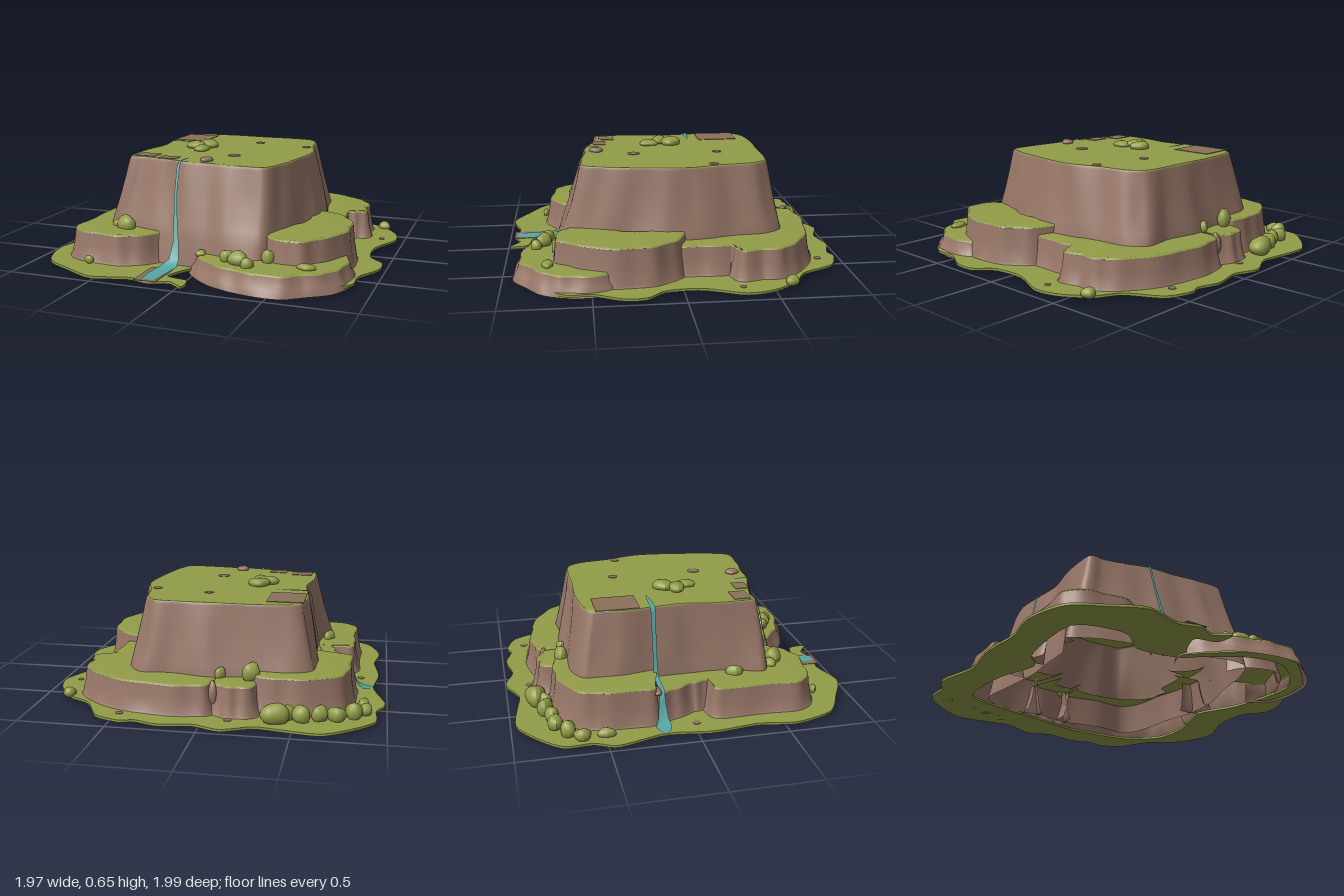
import * as THREE from 'three';

const flat = (name, color) => {
  const m = new THREE.MeshStandardMaterial({ color, side: THREE.DoubleSide });
  m.name = name;
  return m;
};

// smooth plan curve through [x, z] points
function smooth(pts, closed, n) {
  const c = new THREE.CatmullRomCurve3(pts.map(([x, z]) => new THREE.Vector3(x, 0, z)), closed, 'catmullrom', 0.4);
  const out = c.getPoints(n);
  if (closed) out.pop();
  return out;
}

// surface through rows of points
function loft(rows, closed) {
  const n = rows[0].length, pos = [], idx = [];
  rows.forEach(r => r.forEach(p => pos.push(p.x, p.y, p.z)));
  for (let r = 0; r < rows.length - 1; r++)
    for (let i = 0; i < (closed ? n : n - 1); i++) {
      const j = (i + 1) % n, a = r * n + i, b = r * n + j, c = a + n, d = b + n;
      idx.push(a, b, c, b, d, c);
    }
  const g = new THREE.BufferGeometry();
  g.setAttribute('position', new THREE.Float32BufferAttribute(pos, 3));
  g.setIndex(idx);
  g.computeVertexNormals();
  return g;
}

// path pushed outward and set at a height
function offset(path, d, y, closed) {
  const n = path.length;
  return path.map((p, i) => {
    const a = path[closed ? (i + n - 1) % n : Math.max(i - 1, 0)];
    const b = path[closed ? (i + 1) % n : Math.min(i + 1, n - 1)];
    const t = b.clone().sub(a).normalize();
    const k = typeof d === 'function' ? d(i) : d;
    return new THREE.Vector3(p.x + t.z * k, y, p.z - t.x * k);
  });
}

const toShape = pts => new THREE.Shape(pts.map(p => new THREE.Vector2(p.x, -p.z)));

export function createModel() {
  const model = new THREE.Group();
  const grass = flat('grass', 0x929c48), rock = flat('rock', 0x987768);
  const water = flat('water', 0x55a5a2), dirt = flat('dirt', 0x8a7058);
  const add = (name, geo, mat) => {
    const m = new THREE.Mesh(geo, mat);
    m.name = name;
    model.add(m);
    return m;
  };

  // ground skirt with the hollow under the hill
  const ground = toShape(smooth([
    [-.94, -.74], [-.82, -.87], [-.66, -.97], [-.45, -.95], [-.3, -.93], [-.13, -1], [.03, -.95], [.21, -.98],
    [.35, -.94], [.43, -.96], [.58, -.9], [.69, -.71], [.82, -.63], [.93, -.48], [.96, -.32], [.87, -.1],
    [.88, .1], [.97, .21], [.97, .34], [.89, .5], [.89, .63], [.82, .72], [.56, .92], [.29, .89], [.06, .73],
    [-.02, .67], [-.1, .84], [.03, .88], [.045, .99], [-.05, .93], [-.16, .97], [-.29, .94], [-.5, .99],
    [-.69, .9], [-.87, .79], [-.95, .56], [-.92, .34], [-.95, .08], [-.92, -.18], [-.99, -.45], [-.94, -.58],
  ], true, 200));
  ground.holes.push(toShape(smooth([
    [-.76, -.5], [-.68, -.62], [-.3, -.7], [.1, -.78], [.5, -.74], [.7, -.58], [.72, -.35], [.63, -.05],
    [.75, .2], [.8, .6], [.55, .84], [.3, .82], [.08, .68], [-.03, .6], [-.28, .57], [-.45, .7], [-.73, .62],
    [-.73, .2], [-.64, .05], [-.73, -.2],
  ], true, 80)));
  const groundGeo = new THREE.ExtrudeGeometry(ground, { depth: 0.014, bevelEnabled: false });
  add('ground', groundGeo.rotateX(-Math.PI / 2).translate(0, 0.013, 0), grass);

  // central plateau: top edge and foot are paired point by point
  const N = 184;
  const topEdge = smooth([
    [-.5, -.49], [-.42, -.55], [-.2, -.57], [0, -.56], [.2, -.56], [.33, -.54], [.39, -.45], [.42, -.27],
    [.47, -.1], [.47, .05], [.44, .25], [.41, .4], [.35, .53], [.18, .53], [.02, .51], [-.15, .5], [-.28, .46],
    [-.42, .43], [-.51, .42], [-.52, .2], [-.49, 0], [-.51, -.17], [-.53, -.35],
  ], true, N);
  const foot = smooth([
    [-.6, -.58], [-.45, -.66], [-.2, -.64], [0, -.67], [.22, -.63], [.4, -.64], [.49, -.53], [.52, -.32],
    [.56, -.13], [.57, .08], [.51, .3], [.46, .5], [.38, .67], [.19, .68], [.03, .64], [-.15, .62], [-.32, .58],
    [-.53, .52], [-.64, .46], [-.58, .27], [-.57, .02], [-.58, -.18], [-.61, -.4],
  ], true, N);
  const ring = (t, y) => {
    const mid = topEdge.map((p, i) => p.clone().lerp(foot[i], t));
    const fold = i => 0.007 * Math.sin(t * Math.PI) * (Math.sin(i * 0.55) + Math.sin(i * 0.23 + 1));
    return offset(mid, fold, y, true);
  };
  const lip = ring(0.1, 0.588);
  const cap = new THREE.ShapeGeometry(toShape(topEdge)).rotateX(-Math.PI / 2).translate(0, 0.605, 0);
  add('plateauTop', cap, grass);
  add('plateauLip', loft([ring(0, 0.605), ring(0.05, 0.6)], true), grass);
  add('plateauWall', loft([ring(0.05, 0.6), lip, ring(0.3, 0.48), ring(0.55, 0.36), ring(0.8, 0.26),
    ring(1, 0.18), ring(1.2, 0.02)], true), rock);

  // terraces: plan edge clockwise from above, height, foot height
  const terraces = {
    frontLeft: [.2, .02, [[-.2, .5], [-.27, .6], [-.36, .69], [-.46, .73], [-.63, .715], [-.75, .67], [-.785, .58],
      [-.775, .35], [-.785, .17], [-.73, .13], [-.6, .13]]],
    leftChannel: [.2, .02, [[-.62, .18], [-.66, .08], [-.67, .02], [-.72, -.08], [-.75, -.16], [-.75, -.24]]],
    backLeft: [.24, .02, [[-.6, -.2], [-.74, -.2], [-.785, -.25], [-.775, -.45], [-.755, -.57], [-.68, -.66],
      [-.5, -.72], [-.38, -.72], [-.29, -.71], [-.28, -.6]]],
    backMiddle: [.2, .02, [[-.29, -.6], [-.27, -.76], [-.2, -.79], [-.13, -.79], [-.06, -.74], [-.07, -.6]]],
    backRight: [.2, .02, [[-.03, -.6], [-.03, -.75], [.02, -.79], [.15, -.81], [.35, -.79], [.54, -.73], [.66, -.64],
      [.73, -.56], [.735, -.45], [.755, -.34], [.7, -.32], [.65, -.29], [.65, -.15], [.635, 0], [.55, .05]]],
    right: [.25, .02, [[.5, -.03], [.6, -.02], [.7, .05], [.77, .16], [.79, .3], [.77, .45], [.69, .58], [.62, .67],
      [.54, .69], [.43, .65], [.38, .56]]],
    frontRight: [.115, 0, [[.7, .35], [.81, .42], [.83, .55], [.81, .66], [.76, .75], [.66, .82], [.56, .89], [.42, .89],
      [.29, .86], [.17, .81], [.06, .72], [.0, .64], [.04, .55]]],
  };
  for (const [name, [h, base, pts]] of Object.entries(terraces)) {
    const p = smooth(pts, false, pts.length * 7);
    const inner = p.map(v => new THREE.Vector3(v.x * 0.68, h + 0.004, v.z * 0.68));
    const wob = k => i => k + 0.006 * Math.sin(i * 0.6);
    const brow = offset(p, wob(0.008), h - 0.012);
    add(name + 'TerraceTop', loft([inner, offset(p, wob(0), h), brow], false), grass);
    add(name + 'TerraceWall', loft([brow, offset(p, wob(0.018), h * 0.55), offset(p, wob(0.035), 0.04),
      offset(p, 0.05, base)], false), rock);
  }

  // bushes and stones: x, y, z, then radii
  const blob = (name, mat, x, y, z, rx, ry, rz) => {
    const g = new THREE.SphereGeometry(1, 16, 10), a = g.attributes.position;
    for (let i = 0; i < a.count; i++) {
      const k = 1 + 0.13 * Math.sin(3 * a.getX(i) + x * 40) * Math.cos(3 * a.getZ(i) + z * 30);
      a.setXYZ(i, a.getX(i) * k * rx, a.getY(i) * k * ry, a.getZ(i) * k * rz);
    }
    g.computeVertexNormals();
    add(name, g, mat).position.set(x, y, z);
  };
  [
    [-.2, .62, -.04, .065, .032, .06], [-.25, .62, .03, .07, .028, .05], [-.19, .615, .1, .05, .022, .065],
    [-.88, .05, -.63, .04, .035, .05], [-.82, .06, -.7, .05, .05, .045], [-.73, .06, -.76, .05, .045, .04],
    [-.64, .06, -.77, .045, .05, .04], [-.54, .06, -.8, .05, .055, .045], [-.4, .07, -.84, .085, .06, .06],
    [-.46, .06, -.79, .05, .05, .04], [-.25, .24, -.67, .05, .06, .04], [-.07, .22, -.65, .03, .04, .03],
    [-.87, .04, -.5, .03, .03, .05],
    [-.48, .22, .57, .06, .055, .05], [-.55, .21, .53, .04, .03, .03], [-.62, .21, .29, .035, .04, .05],
    [.29, .14, .77, .06, .045, .05], [.35, .13, .81, .04, .035, .035], [.21, .14, .74, .04, .04, .03],
    [.43, .14, .69, .04, .045, .03], [.66, .125, .74, .05, .02, .03], [.03, .12, .67, .03, .02, .03],
    [-.62, .05, .78, .03, .025, .02], [.84, .04, -.6, .04, .03, .04],
  ].forEach(b => blob('bush', grass, ...b));
  blob('topStone', rock, -.025, .613, .44, .036, .018, .04);
  blob('backStone', rock, -.05, .14, -.76, .025, .07, .03);
  blob('channelStone', rock, -.75, .2, -.2, .05, .02, .03);

  // bare earth patches
  [[-.41, -.365, .21, .25], [-.43, .365, .13, .1], [-.27, .415, .11, .08]].forEach(([x, z, w, d]) =>
    add('earthPatch', new THREE.BoxGeometry(w, 0.004, d), dirt).position.set(x, 0.606, z));
  [[.06, -.3, .028, .605], [.065, .215, .038, .605], [.39, -.23, .028, .605], [.46, -.85, .022, .027],
    [-.15, -.86, .022, .027], [-.84, .01, .022, .027], [.87, -.32, .018, .027]].forEach(([x, z, r, y]) =>
    add('earthSpot', new THREE.CylinderGeometry(r, r, 0.004, 12), dirt).position.set(x, y + 0.001, z));
  add('streamBed', new THREE.BoxGeometry(.13, .004, .24), dirt).position.set(-.18, .028, .85);

  // waterfalls: x, y, z and half width across
  const fall = (name, pts, ax, az) => {
    const side = s => pts.map(([x, y, z, w]) => new THREE.Vector3(x + s * w * ax, y, z + s * w * az));
    add(name, loft([side(-1), side(1)], false), water);
  };
  fall('frontWaterfall', [[-.15, .61, .42, .006], [-.155, .61, .515, .007], [-.16, .58, .535, .008],
    [-.16, .42, .58, .008], [-.145, .26, .62, .012], [-.13, .16, .655, .018], [-.13, .07, .685, .03],
    [-.14, .045, .74, .05], [-.16, .036, .84, .05], [-.17, .032, .95, .035]], 1, 0);
  fall('leftWaterfall', [[-.33, .61, -.17, .004], [-.42, .61, -.17, .012], [-.515, .61, -.17, .014],
    [-.535, .58, -.17, .014], [-.56, .42, -.17, .012], [-.59, .27, -.17, .012], [-.62, .213, -.17, .014],
    [-.76, .21, -.17, .014], [-.79, .15, -.175, .018], [-.82, .06, -.175, .03], [-.86, .034, -.18, .045],
    [-.92, .032, -.18, .02]], 0, 1);

  return model;
}
